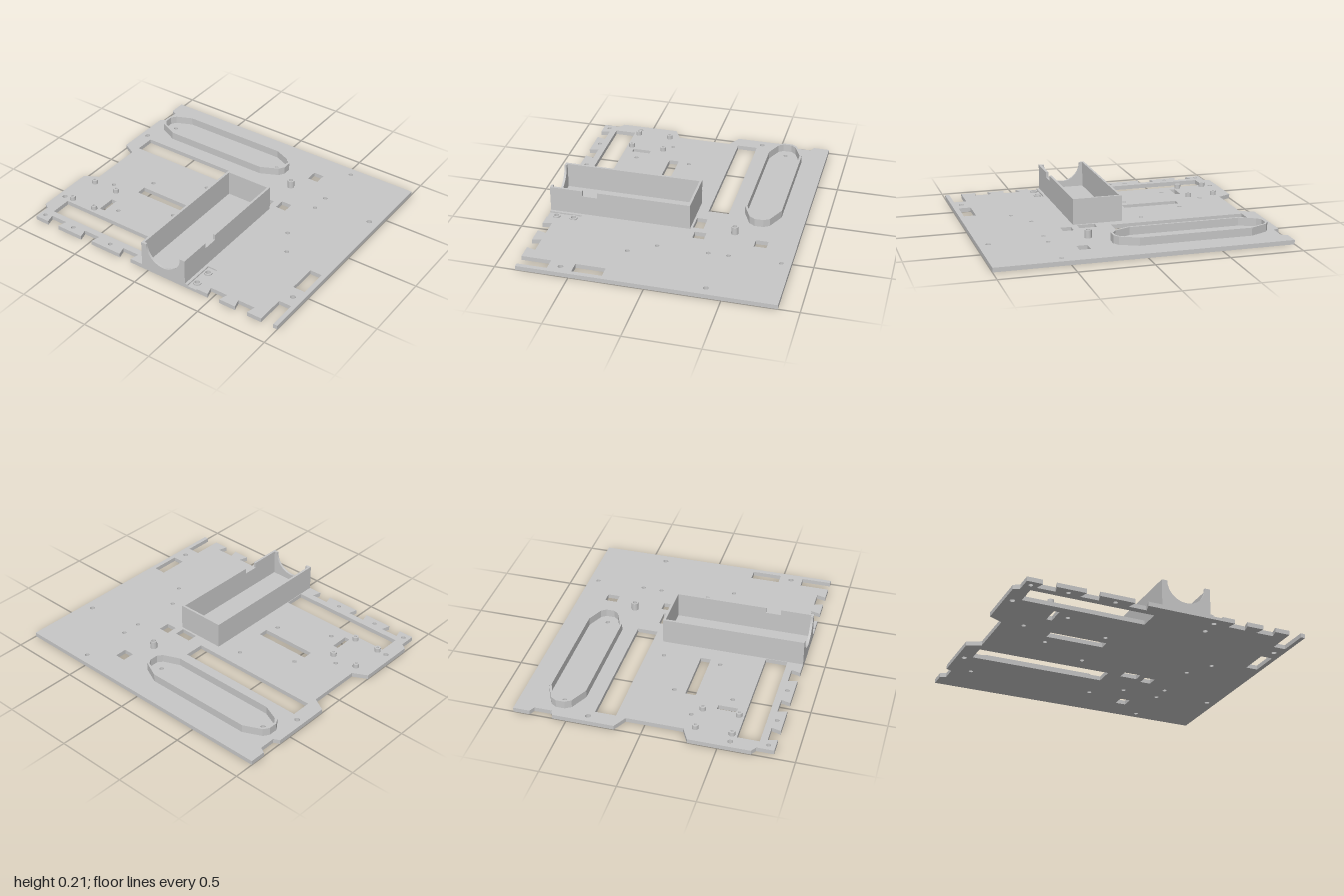
import * as THREE from 'three';
import { toCreasedNormals } from 'three/addons/utils/BufferGeometryUtils.js';

const T = 0.03; // plate thickness

// Closed path from points in the ground plane (x, z)
function trace(path, pts) {
  pts.forEach(([x, z], i) => (i ? path.lineTo(x, -z) : path.moveTo(x, -z)));
  path.closePath();
  return path;
}
// Outlines are listed clockwise from above and turned round for extruding
const polygon = (pts) => trace(new THREE.Shape(), [...pts].reverse());
const rectHole = (x0, x1, z0, z1) => trace(new THREE.Path(), [[x0, z0], [x1, z0], [x1, z1], [x0, z1]]);
const roundHole = (x, z, r) => new THREE.Path().absarc(x, -z, r, 0, Math.PI * 2);

// Solid standing between two heights
function slab(shape, y0, y1) {
  const g = new THREE.ExtrudeGeometry(shape, { depth: y1 - y0, bevelEnabled: false, curveSegments: 12 });
  g.rotateX(-Math.PI / 2).translate(0, y0, 0);
  return toCreasedNormals(g, 0.4);
}

export function createModel() {
  const group = new THREE.Group();
  const grey = new THREE.MeshStandardMaterial({ color: 0xc7c7c7 });
  grey.name = 'grey plastic';
  const add = (name, geometry) => {
    const mesh = new THREE.Mesh(geometry, grey);
    mesh.name = name;
    group.add(mesh);
  };

  // Base plate: stepped left edge, dovetail notches along the front
  const outline = [
    [-1, -0.86], [1, -0.86], [1, 0.857], [0.97, 0.857], [0.97, 0.653], [0.882, 0.653], [0.882, 0.857],
  ];
  const notch = (x) => outline.push([x + 0.045, 0.857], [x + 0.062, 0.795], [x - 0.062, 0.795], [x - 0.045, 0.857]);
  [0.73, 0.52].forEach(notch);
  outline.push([0.387, 0.857], [0.387, 0.628], [0.317, 0.628], [0.317, 0.857]);
  [-0.19, -0.52, -0.81].forEach(notch);
  outline.push(
    [-0.96, 0.857], [-0.96, 0.742], [-1, 0.717], [-1, 0.305], [-0.905, 0.255], [-0.905, -0.127],
    [-1, -0.178], [-1, -0.593], [-0.96, -0.613], [-0.96, -0.728], [-1, -0.748],
  );
  const plate = polygon(outline);
  [
    [-0.897, 0.05, -0.336, -0.195], [-0.897, -0.052, 0.603, 0.75], [-0.56, -0.16, 0.174, 0.244],
    [-0.658, -0.62, 0.413, 0.544], [0.322, 0.397, -0.667, -0.582], [0.322, 0.397, -0.245, -0.166],
    [0.152, 0.274, -0.212, -0.14], [0.882, 0.967, 0.284, 0.488],
  ].forEach((r) => plate.holes.push(rectHole(...r)));
  [
    [0.547, -0.795], [0.547, -0.446], [0.547, -0.312], [0.547, 0.035], [0.652, 0.208],
    [-0.2, -0.076], [-0.54, 0.094], [-0.2, 0.318], [-0.54, 0.49], [-0.757, 0.268],
    [-0.918, 0.812], [-0.67, 0.812], [-0.352, 0.812], [-0.833, -0.565], [0.066, -0.565], [0.275, -0.428],
  ].forEach(([x, z]) => plate.holes.push(roundHole(x, z, 0.015)));
  [[-0.948, -0.367], [-0.948, 0.572], [0.932, -0.388], [0.932, 0.572]]
    .forEach(([x, z]) => plate.holes.push(roundHole(x, z, 0.018)));
  add('basePlate', slab(plate, 0, T));

  // Shallow pocket floor beside the box, with two ringed screw holes
  const pocket = polygon([[0.317, 0.628], [0.387, 0.628], [0.387, 0.857], [0.317, 0.857]]);
  const screws = [[0.352, 0.678], [0.352, 0.798]];
  screws.forEach(([x, z]) => pocket.holes.push(roundHole(x, z, 0.017)));
  add('pocketFloor', slab(pocket, 0, 0.02));

  // Hollow posts
  const post = (name, x, z, outer, inner, y0, y1) => {
    const ring = new THREE.Shape().absarc(x, -z, outer, 0, Math.PI * 2);
    ring.holes.push(roundHole(x, z, inner));
    add(name, slab(ring, y0, y1));
  };
  screws.forEach(([x, z]) => post('screwRing', x, z, 0.027, 0.017, 0.02, T));
  for (const x of [-0.88, -0.69])
    for (const z of [0.327, 0.567]) post('boardStandoff', x, z, 0.021, 0.009, T, 0.06);
  post('tallStandoff', 0.275, -0.428, 0.024, 0.015, T, 0.085);

  // Long rim with chamfered ends, mirrored about its centre
  const rimLoop = (d) => {
    const quarter = [[0.535 - d, 0.03], [0.51 - d, 0.07 - d * 0.4], [0.387 - d * 0.25, 0.128 - d]];
    const half = [...quarter, ...quarter.map(([x, z]) => [-x, z]).reverse()];
    return [...half, ...half.map(([x, z]) => [-x, -z])].map(([x, z]) => [x - 0.382, z - 0.566]);
  };
  const rim = polygon(rimLoop(0));
  rim.holes.push(trace(new THREE.Path(), rimLoop(0.016)));
  add('oblongRim', slab(rim, T, 0.085));

  // Open box: left, back, notched right wall, and front wall with a round cut
  const top = 0.21, x0 = -0.048, x1 = 0.297, z0 = -0.125, z1 = 0.857, w = 0.016;
  const block = (name, ax, bx, az, bz) => {
    const g = new THREE.BoxGeometry(bx - ax, top - T, bz - az);
    add(name, g.translate((ax + bx) / 2, (top + T) / 2, (az + bz) / 2));
  };
  block('boxLeftWall', x0, x0 + w, z0, z1);
  block('boxBackWall', x0 + w, x1 - w, z0, z0 + w);

  const side = new THREE.Shape();
  [[z0, T], [z1, T], [z1, top], [0.627, top], [0.627, 0.17], [0.522, 0.17], [0.522, top], [z0, top]]
    .forEach(([z, y], i) => (i ? side.lineTo(z, y) : side.moveTo(z, y)));
  const sideWall = new THREE.ExtrudeGeometry(side, { depth: w, bevelEnabled: false });
  add('boxRightWall', sideWall.rotateY(-Math.PI / 2).translate(x1, 0, 0));

  const front = new THREE.Shape();
  front.moveTo(x0 + w, T);
  front.lineTo(x1 - w, T);
  front.lineTo(x1 - w, top);
  front.absarc(0.125, top, 0.135, 0, -Math.PI, true);
  front.lineTo(x0 + w, top);
  front.closePath();
  const frontWall = new THREE.ExtrudeGeometry(front, { depth: w, bevelEnabled: false, curveSegments: 24 });
  add('boxFrontWall', toCreasedNormals(frontWall.translate(0, 0, z1 - w), 0.5));

  return group;
}
